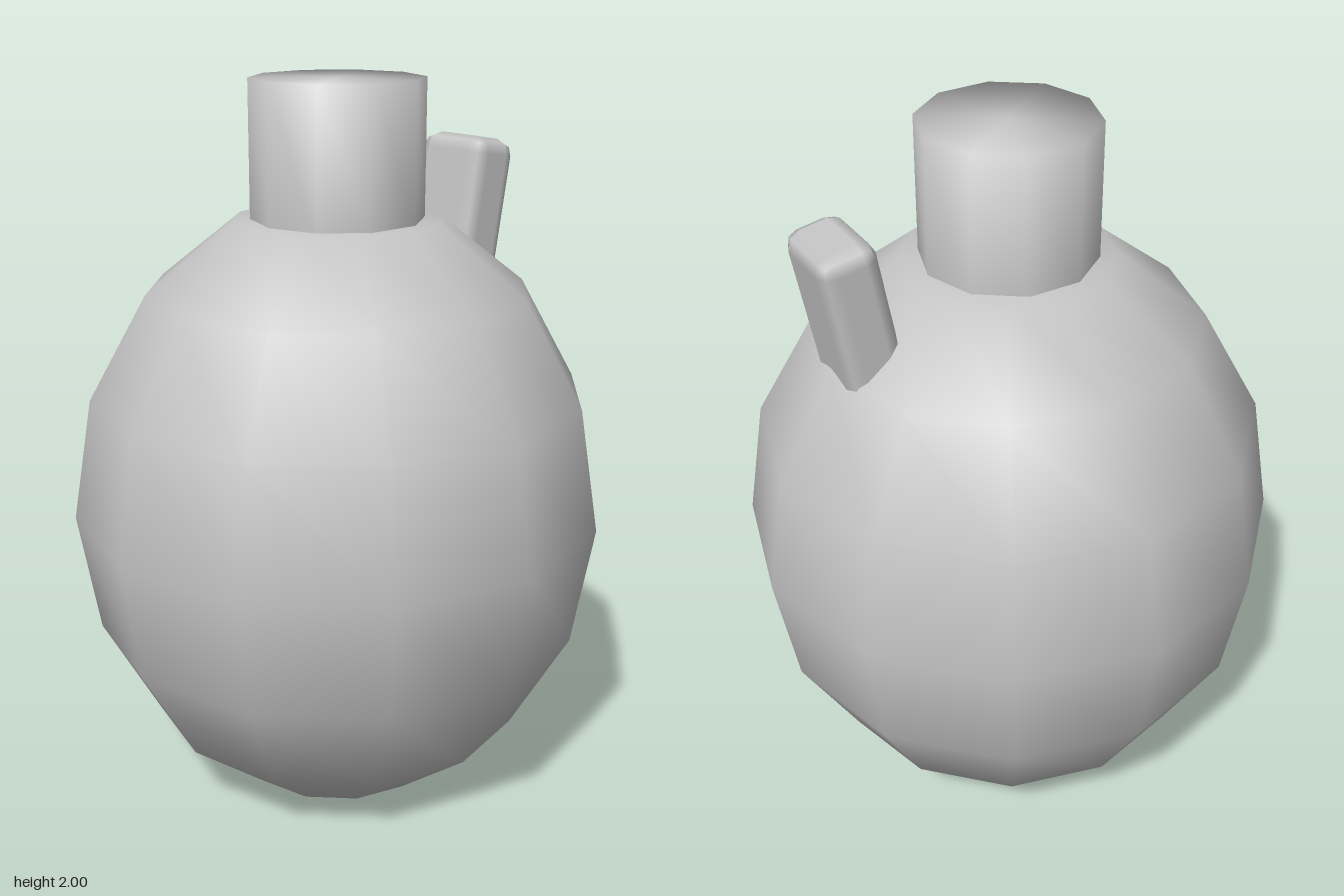
import * as THREE from 'three';
import { RoundedBoxGeometry } from 'three/addons/geometries/RoundedBoxGeometry.js';

export function createModel() {
  const model = new THREE.Group();
  const grey = new THREE.MeshStandardMaterial({ color: 0xc4c4c4 });
  grey.name = 'plainGrey';

  const add = (name, geometry) => {
    const mesh = new THREE.Mesh(geometry, grey);
    mesh.name = name;
    model.add(mesh);
    return mesh;
  };

  // Egg-shaped body: twelve-sided ellipsoid with flattened poles
  const centreY = 0.815, radius = 0.744, halfHeight = 0.882;
  const profile = [new THREE.Vector2(0, 0)];
  for (let i = 1; i <= 7; i++) {
    const a = (i * Math.PI) / 8;
    profile.push(new THREE.Vector2(radius * Math.sin(a), centreY - halfHeight * Math.cos(a)));
  }
  profile.push(new THREE.Vector2(0, profile[7].y));
  add('body', new THREE.LatheGeometry(profile, 12));

  // Ten-sided neck with softly shaded closed top
  const neck = [[0.237, 1.6], [0.237, 2], [0, 2]].map(([x, y]) => new THREE.Vector2(x, y));
  add('neck', new THREE.LatheGeometry(neck, 10, Math.PI / 2));

  // Tilted lever with bevelled edges, sunk into the body's left shoulder
  const lever = add('lever', new RoundedBoxGeometry(0.162, 0.5, 0.24, 1, 0.045));
  lever.position.set(0.458, 1.563, 0);
  lever.rotation.z = -THREE.MathUtils.degToRad(10);

  return model;
}
